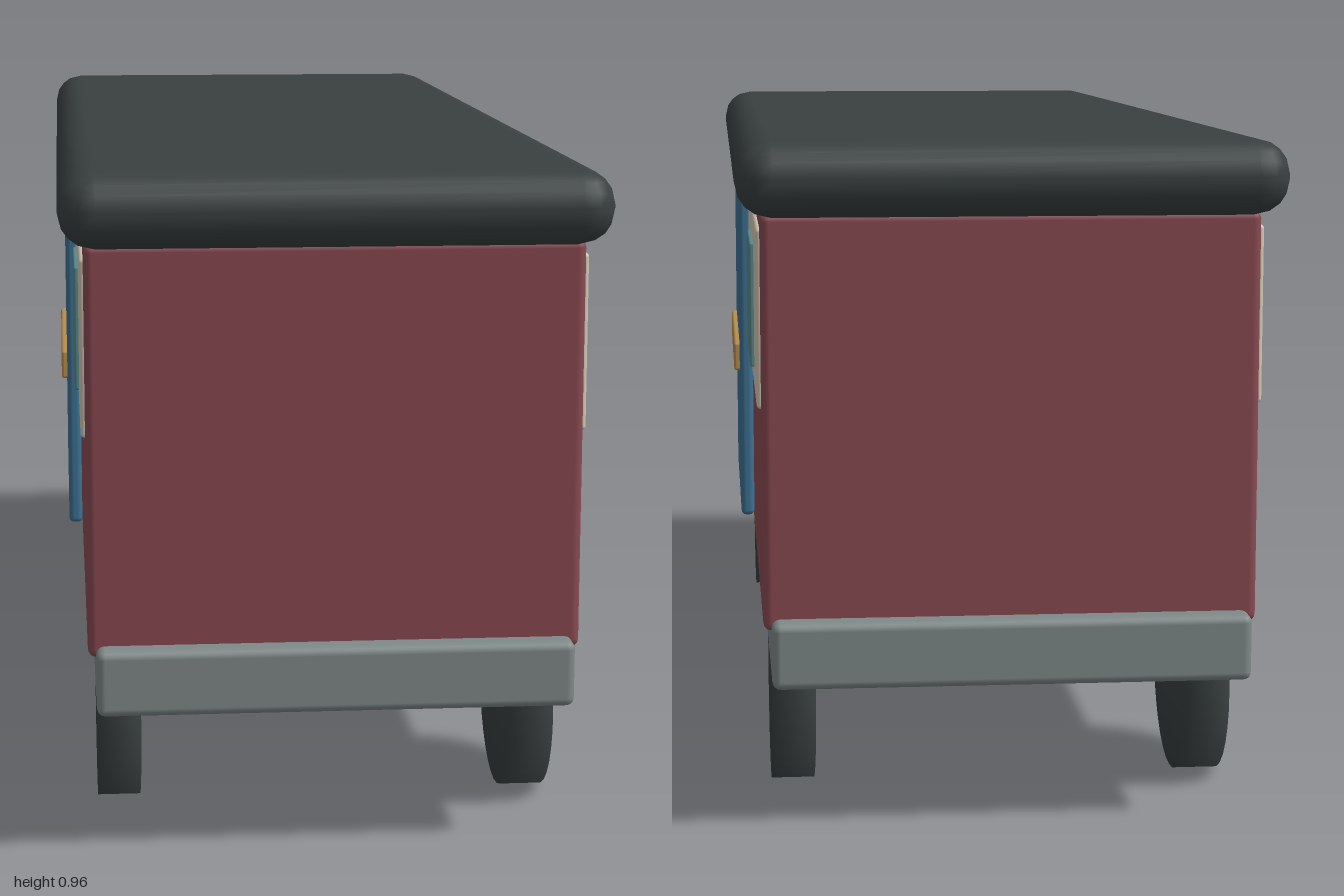
import * as THREE from 'three';
import { RoundedBoxGeometry } from 'three/addons/geometries/RoundedBoxGeometry.js';
import { mergeVertices } from 'three/addons/utils/BufferGeometryUtils.js';

function mat(name, color) {
  const m = new THREE.MeshStandardMaterial({ color });
  m.name = name;
  return m;
}

export function createModel() {
  const red = mat('wine red', 0x8a4a52);
  const cream = mat('cream', 0xd2c9b7);
  const blue = mat('door blue', 0x3d7193);
  const grey = mat('chassis grey', 0x808a89);
  const dark = mat('charcoal', 0x3a4040);
  const glass = mat('window teal', 0x5a8889);
  const gold = mat('handle ochre', 0xb98e4d);

  const group = new THREE.Group();
  group.name = 'wagon';

  // Rounded block given by its limits on each axis
  function block(name, material, [x0, x1], [y0, y1], [z0, z1], radius, segments = 2) {
    const geo = new RoundedBoxGeometry(x1 - x0, y1 - y0, z1 - z0, segments, radius);
    const mesh = new THREE.Mesh(geo, material);
    mesh.name = name;
    mesh.position.set((x0 + x1) / 2, (y0 + y1) / 2, (z0 + z1) / 2);
    group.add(mesh);
  }

  // Main volumes
  block('chassis', grey, [-0.334, 0.334], [0.203, 0.297], [-0.971, 0.971], 0.012);
  block('body', red, [-0.345, 0.345], [0.279, 0.858], [-0.937, 0.937], 0.012);
  block('roof', dark, [-0.379, 0.379], [0.853, 0.957], [-1, 1], 0.05);

  // Wheel with softened rims: shared vertices give smooth normals
  let wheelGeo = new THREE.CylinderGeometry(0.148, 0.148, 0.062, 32);
  wheelGeo.deleteAttribute('normal');
  wheelGeo.deleteAttribute('uv');
  wheelGeo = mergeVertices(wheelGeo, 1e-4);
  wheelGeo.rotateZ(Math.PI / 2);
  wheelGeo.computeVertexNormals();

  for (const s of [-1, 1]) {
    const side = s > 0 ? 'left' : 'right';
    const span = (a, b) => (s > 0 ? [a, b] : [-b, -a]);

    // Side panelling, sliding door and its bar
    block(side + 'UpperPanel', cream, span(0.337, 0.351), [0.588, 0.837], [-0.922, 0.922], 0.006);
    block(side + 'Door', blue, span(0.346, 0.367), [0.314, 0.86], [-0.265, 0.265], 0.008);
    block(side + 'DoorBar', gold, span(0.355, 0.376), [0.547, 0.592], [-0.23, 0.23], 0.004);

    for (const e of [-1, 1]) {
      const end = e > 0 ? 'Front' : 'Rear';
      const z = e > 0 ? [0.53, 0.752] : [-0.752, -0.53];
      block(side + end + 'Window', glass, span(0.348, 0.357), [0.624, 0.802], z, 0.003);

      const wheel = new THREE.Mesh(wheelGeo, dark);
      wheel.name = side + end + 'Wheel';
      wheel.position.set(s * 0.3, 0.148, e * 0.674);
      group.add(wheel);
    }
  }
  return group;
}
